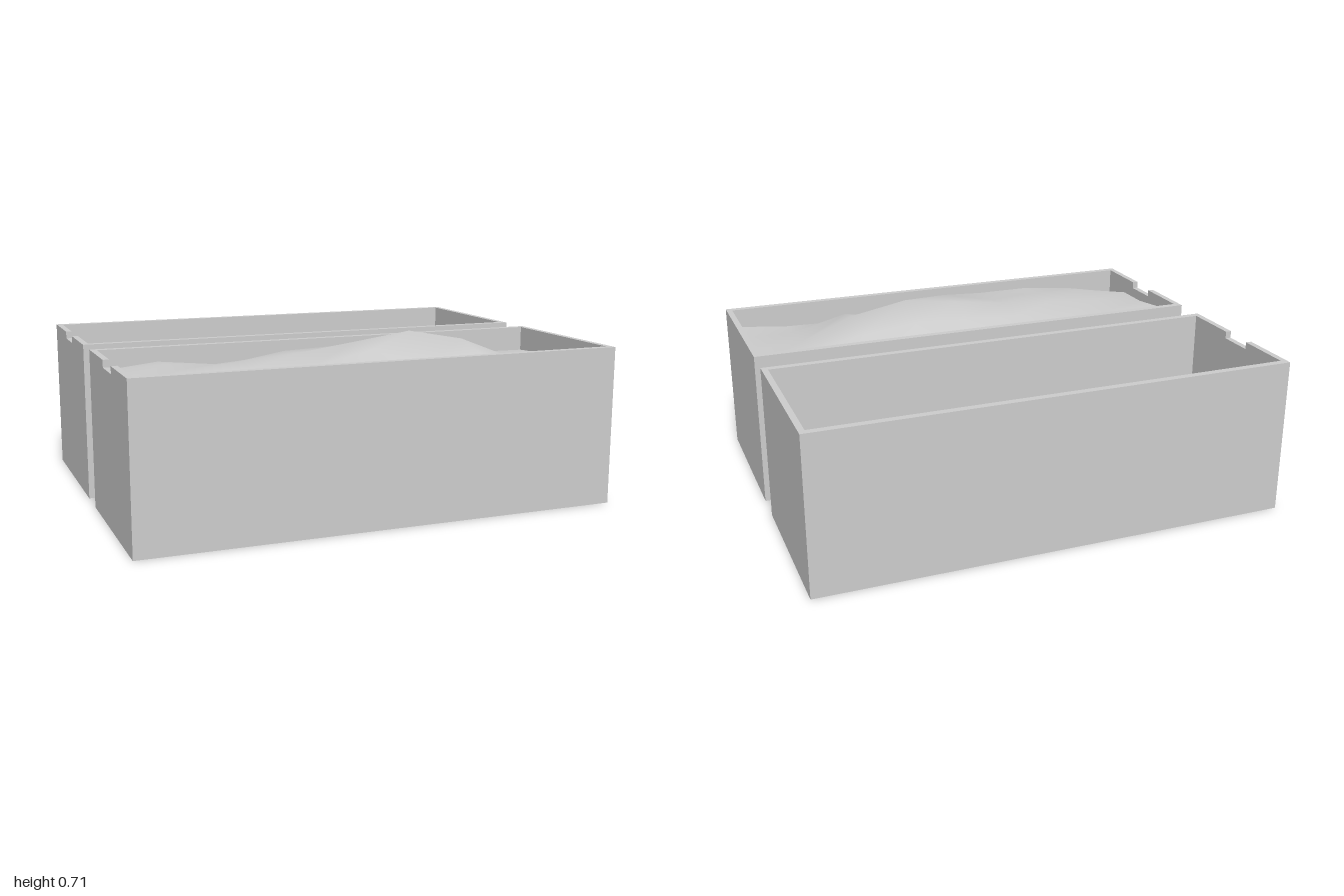
import * as THREE from 'three';

const material = new THREE.MeshStandardMaterial({ color: 0xcccccc, side: THREE.DoubleSide });

const HEIGHT = 0.655;
const OUTER = [1, 0.355];       // half length, half depth
const INNER = [0.975, 0.325];
const CENTRE_Z = 0.425;
const NOTCH = { half: 0.077, depth: 0.03 };

// Hollow wall: outer skin, rim and inner skin lofted around the box,
// with a shallow notch cut into the rim of the -x end.
function wallGeometry(innerBottom) {
  const { half, depth } = NOTCH;
  const low = HEIGHT - depth;
  const corner = (sx, sz) => ({ out: [sx * OUTER[0], sz * OUTER[1]], inn: [sx * INNER[0], sz * INNER[1]], y: HEIGHT });
  const notch = (z, y) => ({ out: [-OUTER[0], z], inn: [-INNER[0], z], y });
  const stations = [
    corner(1, 1), corner(-1, 1),
    notch(half, HEIGHT), notch(half, low), notch(-half, low), notch(-half, HEIGHT),
    corner(-1, -1), corner(1, -1),
  ];
  const section = ({ out, inn, y }) => [
    [out[0], 0, out[1]], [out[0], y, out[1]], [inn[0], y, inn[1]], [inn[0], innerBottom, inn[1]],
  ];
  const positions = [];
  stations.forEach((station, i) => {
    const next = stations[(i + 1) % stations.length];
    const a = section(station), b = section(next);
    const vertical = station.out[0] === next.out[0] && station.out[1] === next.out[1];
    for (let k = 0; k < 3; k++) {
      if (vertical && k !== 1) continue; // notch cheeks only need the rim strip
      positions.push(...a[k], ...a[k + 1], ...b[k + 1], ...a[k], ...b[k + 1], ...b[k]);
    }
  });
  const geometry = new THREE.BufferGeometry();
  geometry.setAttribute('position', new THREE.Float32BufferAttribute(positions, 3));
  geometry.computeVertexNormals();
  return geometry;
}

// Horizontal sheet filling the inside of a box
function sheetGeometry(nx, nz) {
  return new THREE.PlaneGeometry(INNER[0] * 2, INNER[1] * 2, nx, nz).rotateX(-Math.PI / 2);
}

// Heights of the soil, rows from the back to the front, columns from -x to +x
const SOIL = [
  [0.56, 0.595, 0.57, 0.59, 0.57, 0.59, 0.58, 0.55, 0.55],
  [0.60, 0.61, 0.595, 0.635, 0.645, 0.65, 0.63, 0.58, 0.56],
  [0.58, 0.61, 0.63, 0.65, 0.682, 0.715, 0.67, 0.575, 0.56],
  [0.58, 0.62, 0.63, 0.62, 0.67, 0.60, 0.63, 0.57, 0.57],
  [0.54, 0.585, 0.61, 0.61, 0.61, 0.54, 0.545, 0.55, 0.575],
];

function soilGeometry() {
  const geometry = sheetGeometry(8, 4);
  const position = geometry.attributes.position;
  SOIL.flat().forEach((y, i) => position.setY(i, y));
  geometry.computeVertexNormals();
  return geometry;
}

function part(name, geometry) {
  const mesh = new THREE.Mesh(geometry, material);
  mesh.name = name;
  return mesh;
}

function box(name, z, ...parts) {
  const group = new THREE.Group();
  group.name = name;
  group.position.z = z;
  group.add(...parts);
  return group;
}

export function createModel() {
  const model = new THREE.Group();
  model.name = 'planterBoxes';

  // Filled box: soil closes the inside near the rim, open underneath
  model.add(box('filledBox', CENTRE_Z,
    part('filledBoxWalls', wallGeometry(0.535)),
    part('soil', soilGeometry())));

  // Empty box: flat floor set just above the bottom edge
  const floorY = 0.03;
  model.add(box('emptyBox', -CENTRE_Z,
    part('emptyBoxWalls', wallGeometry(floorY)),
    part('floor', sheetGeometry(1, 1).translate(0, floorY, 0))));

  return model;
}
